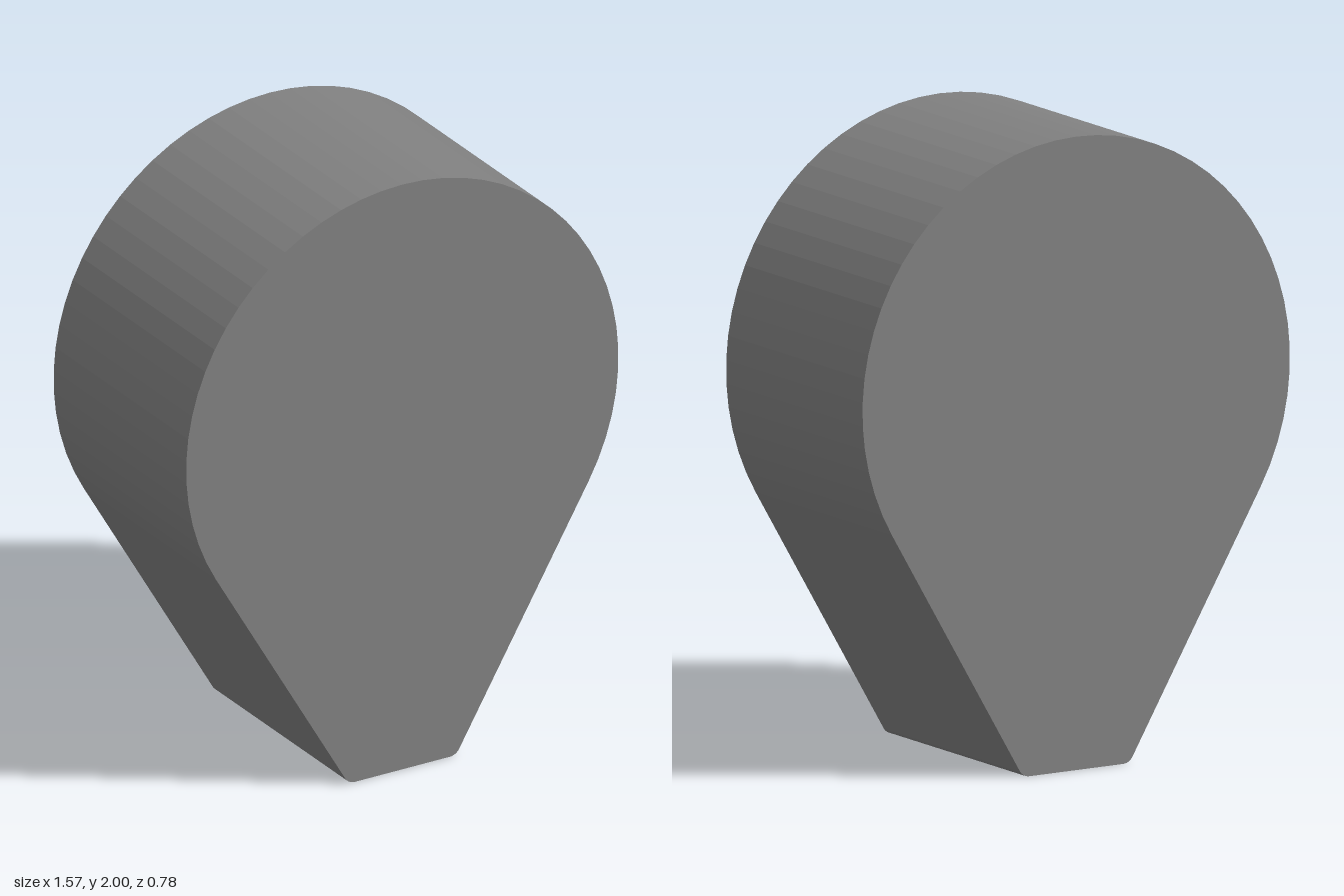
import * as THREE from 'three';

const R = 0.785;                          // radius of the round head
const CY = 2 - R;                         // height of its centre
const DEPTH = 0.78;
const TILT = THREE.MathUtils.degToRad(30.5); // how far the tangent sides lean
const FILLET = 0.04;                      // rounding of the foot corners

export function createModel() {
  const group = new THREE.Group();

  // Foot corner centre, so that its arc touches both the side and the ground
  const sideOffset = R - CY * Math.sin(TILT);
  const footX = (sideOffset - FILLET + FILLET * Math.sin(TILT)) / Math.cos(TILT);

  // Teardrop outline: head arc, straight sides, flat foot with rounded corners
  const outline = new THREE.Shape();
  outline.absarc(0, CY, R, -TILT, Math.PI + TILT, false);
  outline.absarc(-footX, FILLET, FILLET, Math.PI + TILT, Math.PI * 1.5, false);
  outline.absarc(footX, FILLET, FILLET, Math.PI * 1.5, Math.PI * 2 - TILT, false);
  outline.closePath();

  const geometry = new THREE.ExtrudeGeometry(outline, {
    depth: DEPTH, bevelEnabled: false, curveSegments: 22,
  });
  geometry.translate(0, 0, -DEPTH / 2);

  const body = new THREE.Mesh(geometry, new THREE.MeshStandardMaterial({ color: 0x808080 }));
  body.name = 'teardropBody';
  group.add(body);
  return group;
}
